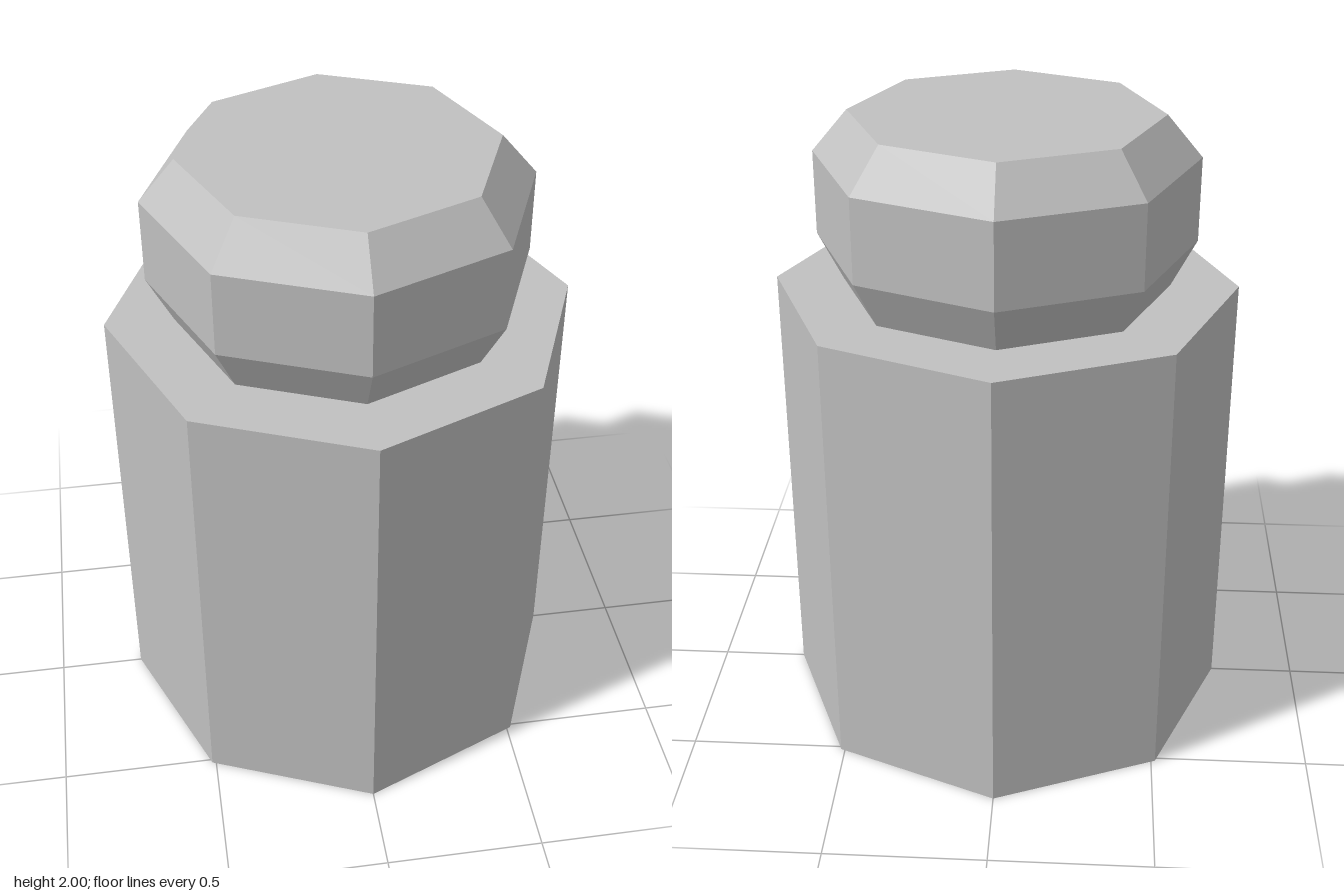
import * as THREE from 'three';

const SIDES = 8;

export function createModel() {
  const model = new THREE.Group();
  model.name = 'jar';

  const grey = new THREE.MeshStandardMaterial({ color: 0xc0c0c0, flatShading: true });
  grey.name = 'light grey';

  // Separate the facets so every face gets its own flat normal
  const addPart = (name, geometry) => {
    const faceted = geometry.toNonIndexed();
    faceted.computeVertexNormals();
    const mesh = new THREE.Mesh(faceted, grey);
    mesh.name = name;
    model.add(mesh);
    return mesh;
  };

  // Straight octagonal body, closed at both ends
  const bodyHeight = 1.455;
  const body = addPart('body', new THREE.CylinderGeometry(0.725, 0.725, bodyHeight, SIDES));
  body.position.y = bodyHeight / 2;

  // Stopper: flares out from the body, then bevels in to a flat top
  const profile = [
    [0.512, bodyHeight],
    [0.59, 1.605],
    [0.59, 1.87],
    [0.48, 2],
    [0, 2],
  ].map(([r, y]) => new THREE.Vector2(r, y));
  addPart('stopper', new THREE.LatheGeometry(profile, SIDES));

  return model;
}
